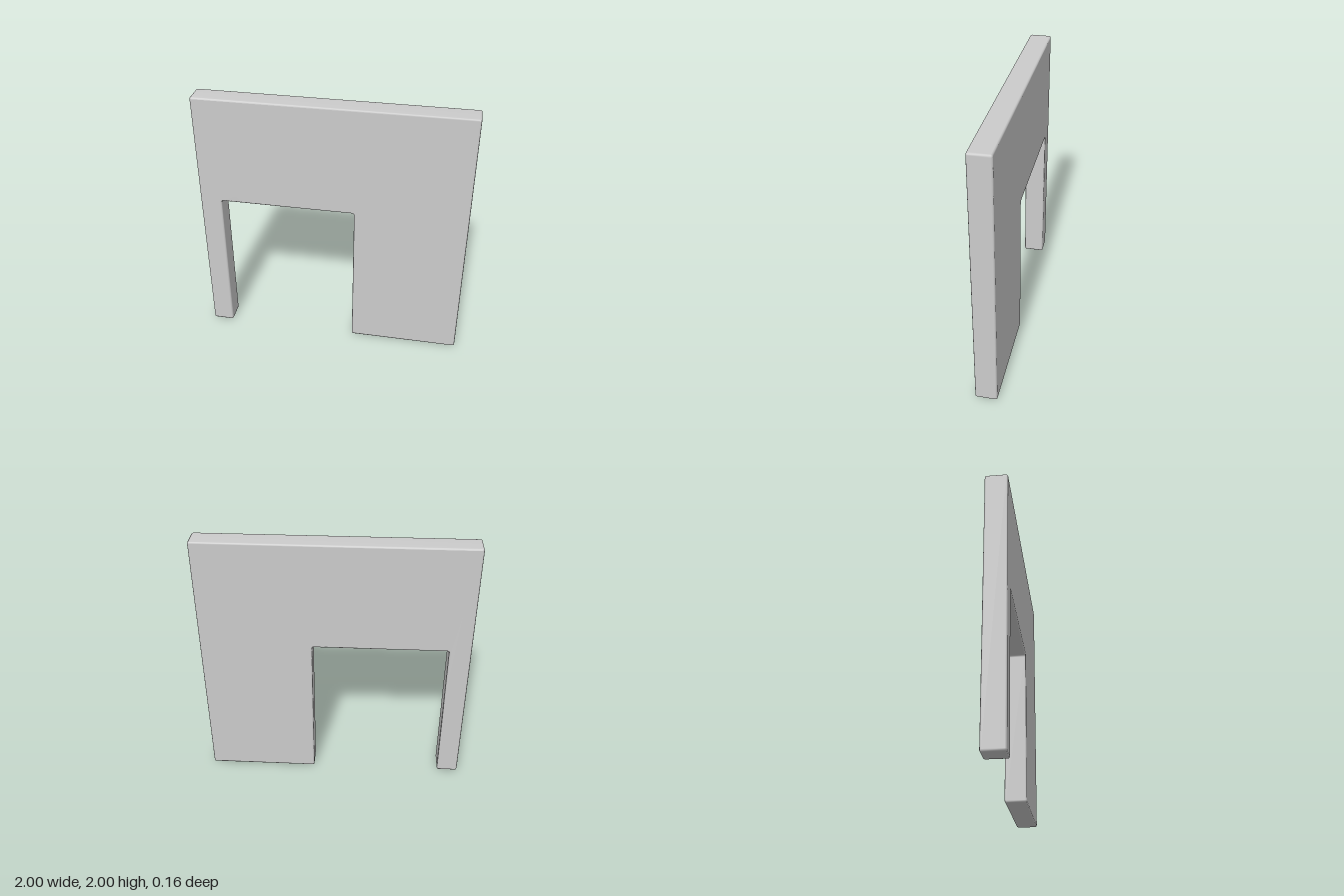
import * as THREE from 'three';
import { mergeVertices } from 'three/addons/utils/BufferGeometryUtils.js';

const THICKNESS = 0.163;
const BEVEL = 0.012;
const CORNER = 0.016;

// Closed outline with every corner slightly rounded
function roundedOutline(points, radius) {
  const shape = new THREE.Shape();
  const corners = points.map(([x, y]) => new THREE.Vector2(x, y));
  const toward = (a, b) => b.clone().sub(a).setLength(radius).add(a);
  corners.forEach((p, i) => {
    const start = toward(p, corners.at(i - 1));
    const end = toward(p, corners[(i + 1) % corners.length]);
    if (i === 0) shape.moveTo(start.x, start.y);
    else shape.lineTo(start.x, start.y);
    shape.quadraticCurveTo(p.x, p.y, end.x, end.y);
  });
  shape.closePath();
  return shape;
}

export function createModel() {
  const group = new THREE.Group();
  group.name = 'wallWithDoorway';

  // Wall panel: narrow post, lintel and wide pier around an open doorway
  const outline = roundedOutline([
    [-1, 0], [-0.838, 0], [-0.838, 1.172], [0.167, 1.172],
    [0.167, 0], [1, 0], [1, 2], [-1, 2],
  ], CORNER);

  let geometry = new THREE.ExtrudeGeometry(outline, {
    depth: THICKNESS - 2 * BEVEL,
    bevelEnabled: true,
    bevelThickness: BEVEL,
    bevelSize: BEVEL,
    bevelOffset: -BEVEL,
    bevelSegments: 2,
    curveSegments: 3,
  });
  geometry.translate(0, 0, BEVEL - THICKNESS / 2);

  // Weld the seams so the softened edges shade smoothly
  geometry.deleteAttribute('uv');
  geometry.deleteAttribute('normal');
  geometry = mergeVertices(geometry, 1e-4);
  geometry.computeVertexNormals();

  const wall = new THREE.Mesh(geometry, new THREE.MeshStandardMaterial({ color: 0xcccccc }));
  wall.name = 'wallPanel';
  group.add(wall);
  return group;
}
